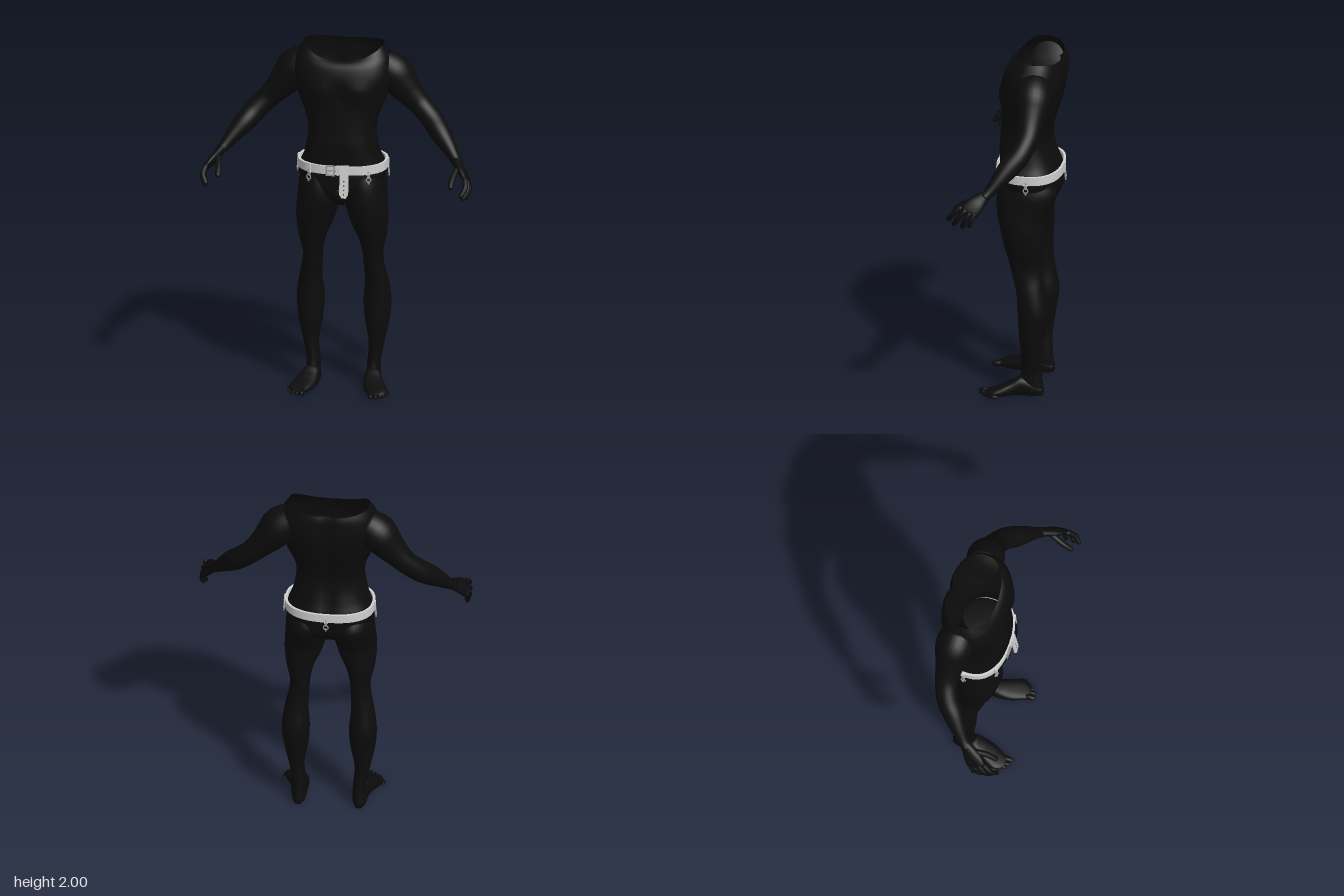
import * as THREE from 'three';
import { toCreasedNormals } from 'three/addons/utils/BufferGeometryUtils.js';

const mat = (name, color, side = THREE.FrontSide) => {
  const m = new THREE.MeshStandardMaterial({ color, side });
  m.name = name;
  return m;
};
const skin = mat('black body', 0x0c0c0c, THREE.DoubleSide);
const leather = mat('pale belt', 0xd0d0d0);
const metal = mat('grey metal', 0x949494);
const dark = mat('dark holes', 0x3a3a3a);

const V = (x, y, z) => new THREE.Vector3(x, y, z);
const spow = (v, e) => Math.sign(v) * Math.abs(v) ** (2 / e);

function mesh(name, geometry, material, parent) {
  const m = new THREE.Mesh(geometry, material);
  m.name = name;
  parent.add(m);
  return m;
}

// Smooth rows of numbers: Catmull-Rom on every column
function refine(keys, n) {
  const out = [];
  for (let i = 0; i < keys.length - 1; i++) {
    const [a, b, c, d] = [-1, 0, 1, 2].map(k => keys[Math.min(keys.length - 1, Math.max(0, i + k))]);
    for (let s = 0; s < n; s++) {
      const t = s / n;
      out.push(b.map((_, k) => b[k] + 0.5 * t * (c[k] - a[k]
        + t * (2 * a[k] - 5 * b[k] + 4 * c[k] - d[k] + t * (3 * (b[k] - c[k]) + d[k] - a[k])))));
    }
  }
  out.push(keys[keys.length - 1]);
  return out;
}

// Skin over a list of closed rings, with optional end caps
function loft(rings, capStart = true, capEnd = true) {
  const n = rings[0].length, pos = [], idx = [];
  rings.forEach(r => r.forEach(p => pos.push(p.x, p.y, p.z)));
  for (let i = 0; i < rings.length - 1; i++) {
    for (let j = 0; j < n; j++) {
      const a = i * n + j, b = i * n + (j + 1) % n;
      idx.push(a, b, a + n, b, b + n, a + n);
    }
  }
  const cap = (i, flip) => {
    const c = rings[i].reduce((s, p) => s.add(p), V(0, 0, 0)).divideScalar(n);
    const k = pos.push(c.x, c.y, c.z) / 3 - 1;
    for (let j = 0; j < n; j++) {
      const a = i * n + j, b = i * n + (j + 1) % n;
      flip ? idx.push(k, b, a) : idx.push(k, a, b);
    }
  };
  if (capStart) cap(0, true);
  if (capEnd) cap(rings.length - 1, false);
  const g = new THREE.BufferGeometry();
  g.setAttribute('position', new THREE.Float32BufferAttribute(pos, 3));
  g.setIndex(idx);
  g.computeVertexNormals();
  return g;
}

const ring = (n, fn) => Array.from({ length: n }, (_, j) => fn(j / n * Math.PI * 2));

// Limb along keys [x, y, z, width radius, thickness radius]
function limb(keys, ref, sides = 20, steps = 4) {
  const rows = refine(keys, steps), at = i => V(...rows[i].slice(0, 3));
  return loft(rows.map((r, i) => {
    const t = at(Math.min(i + 1, rows.length - 1)).sub(at(Math.max(i - 1, 0))).normalize();
    const u = ref.clone().addScaledVector(t, -ref.dot(t)).normalize();
    const v = t.clone().cross(u);
    return ring(sides, a => at(i).addScaledVector(u, r[3] * Math.cos(a))
      .addScaledVector(v, (r[4] ?? r[3]) * Math.sin(a)));
  }));
}

// Torso rows: y, half width, back z, front z, drop of the front edge
function torso() {
  const rows = refine([
    [1.08, 0.03, -0.13, 0.02, 0], [1.12, 0.1, -0.19, 0.07, 0], [1.18, 0.2, -0.235, 0.095, 0],
    [1.25, 0.242, -0.24, 0.1, 0], [1.31, 0.236, -0.24, 0.095, 0], [1.37, 0.212, -0.22, 0.098, 0],
    [1.45, 0.195, -0.198, 0.1, 0], [1.52, 0.19, -0.192, 0.095, 0], [1.6, 0.204, -0.208, 0.09, 0],
    [1.7, 0.245, -0.238, 0.086, 0], [1.78, 0.265, -0.257, 0.09, 0.005], [1.85, 0.275, -0.267, 0.084, 0.015],
    [1.92, 0.265, -0.265, 0.066, 0.03], [1.965, 0.245, -0.26, 0.045, 0.05], [2.0, 0.225, -0.25, 0.025, 0.075]], 4);
  return loft(rows.map(([y, w, z0, z1, drop]) => ring(56, a => {
    const c = Math.cos(a), x = w * spow(Math.sin(a), 2.4);
    let z = (z0 + z1) / 2 + (z1 - z0) / 2 * spow(c, 2.4);
    const mid = Math.exp(-((x / 0.035) ** 2));
    if (c < 0) z += 0.018 * mid;                                   // spine groove
    else z += 0.012 * Math.exp(-(((y - 1.76) / 0.06) ** 2)) * (Math.exp(-(((Math.abs(x) - 0.11) / 0.07) ** 2)) - mid); // chest
    return V(x, y - (c > 0 ? drop : drop * 0.28) * c * c, z);
  })), true, false);
}

// Leg rows: y, inner x, outer x, back z, front z
function leg() {
  const rows = refine([
    [1.27, 0.02, 0.23, -0.21, 0.08], [1.2, 0.012, 0.245, -0.24, 0.096], [1.12, 0.008, 0.25, -0.215, 0.1],
    [1.05, 0.025, 0.256, -0.18, 0.09], [0.97, 0.05, 0.256, -0.174, 0.072], [0.88, 0.09, 0.245, -0.17, 0.05],
    [0.8, 0.11, 0.226, -0.165, 0.025], [0.72, 0.116, 0.228, -0.165, 0.006], [0.62, 0.12, 0.25, -0.175, -0.02],
    [0.5, 0.11, 0.265, -0.195, -0.03], [0.38, 0.118, 0.255, -0.178, -0.035], [0.25, 0.14, 0.228, -0.16, -0.045],
    [0.15, 0.134, 0.208, -0.16, -0.045], [0.09, 0.13, 0.208, -0.165, -0.035], [0.03, 0.13, 0.21, -0.174, -0.02],
    [0.005, 0.135, 0.205, -0.168, -0.03]], 4);
  return loft(rows.map(([y, x0, x1, z0, z1]) => ring(32, a => V(
    (x0 + x1) / 2 + (x1 - x0) / 2 * Math.cos(a), y, (z0 + z1) / 2 + (z1 - z0) / 2 * Math.sin(a)))));
}

// Foot rows: z, inner x, outer x, top y
function foot() {
  const rows = refine([
    [-0.165, 0.145, 0.195, 0.05], [-0.12, 0.13, 0.21, 0.08], [-0.05, 0.126, 0.22, 0.11], [0, 0.126, 0.238, 0.085],
    [0.05, 0.135, 0.262, 0.062], [0.09, 0.15, 0.275, 0.048], [0.125, 0.168, 0.268, 0.036], [0.15, 0.18, 0.245, 0.026]], 4);
  return loft(rows.map(([z, x0, x1, top]) => ring(24, a => V(
    (x0 + x1) / 2 + (x1 - x0) / 2 * spow(Math.cos(a), 2.6), top / 2 + top / 2 * spow(Math.sin(a), 2.6), z))));
}

function side(name, sign) {
  const g = new THREE.Group();
  g.name = name;
  mesh('leg', leg(), skin, g);
  mesh('foot', foot(), skin, g);
  [[0.193, 0.19, 0.017], [0.221, 0.18, 0.013], [0.242, 0.163, 0.012], [0.26, 0.142, 0.011], [0.275, 0.118, 0.011]]
    .forEach(([x, z, r]) => {
      const toe = mesh('toe', new THREE.SphereGeometry(r, 14, 10), skin, g);
      toe.scale.set(1, 1, 2.4);
      toe.position.set(x, r, z - r * 2.4);
    });
  mesh('arm', limb([
    [0.2, 1.88, -0.125, 0.09], [0.27, 1.83, -0.13, 0.106], [0.32, 1.765, -0.13, 0.094], [0.375, 1.7, -0.13, 0.075],
    [0.43, 1.64, -0.125, 0.064], [0.5, 1.57, -0.093, 0.062], [0.55, 1.515, -0.045, 0.059], [0.6, 1.46, 0, 0.046],
    [0.645, 1.405, 0.045, 0.032], [0.672, 1.375, 0.075, 0.028]], V(0, 0, 1), 28), skin, g);
  const ref = V(0, 0.3, 1);
  mesh('palm', limb([
    [0.655, 1.395, 0.055, 0.028, 0.025], [0.68, 1.367, 0.09, 0.04, 0.024], [0.705, 1.34, 0.12, 0.053, 0.024],
    [0.728, 1.31, 0.148, 0.053, 0.018], [0.734, 1.295, 0.156, 0.035, 0.01]], ref), skin, g);
  // Fingers from knuckle to tip, then the thumb
  const digit = (name, a, b, c, r) => mesh(name, limb([
    [...a, r], [...b, r], [...c.map((v, k) => b[k] + 0.75 * (v - b[k])), r * 0.9],
    [...c.map((v, k) => b[k] + 0.94 * (v - b[k])), r * 0.6], [...c, r * 0.1]], ref, 12, 3), skin, g);
  digit('finger', [0.725, 1.335, 0.19], [0.737, 1.295, 0.235], [0.712, 1.245, 0.272], 0.015);
  digit('finger', [0.732, 1.32, 0.165], [0.744, 1.275, 0.205], [0.72, 1.22, 0.24], 0.015);
  digit('finger', [0.735, 1.305, 0.14], [0.746, 1.262, 0.168], [0.726, 1.207, 0.19], 0.015);
  digit('finger', [0.732, 1.3, 0.115], [0.746, 1.262, 0.135], [0.736, 1.22, 0.148], 0.013);
  digit('thumb', [0.675, 1.365, 0.12], [0.658, 1.33, 0.185], [0.652, 1.285, 0.25], 0.017);
  g.scale.x = sign;
  return g;
}

// Belt outline in plan; grow widens it
const BELT_Z = -0.076;
const beltPoint = (a, grow = 0) => V((0.25 + grow) * spow(Math.sin(a), 2.4), 0, BELT_Z + (0.182 + grow) * spow(Math.cos(a), 2.4));

function belt() {
  const g = new THREE.Group();
  g.name = 'belt';
  const flat = grow => ring(112, a => beltPoint(a, grow)).map(p => new THREE.Vector2(p.x, -p.z));
  const shape = new THREE.Shape(flat(0));
  shape.holes.push(new THREE.Path(flat(-0.014)));
  const band = new THREE.ExtrudeGeometry(shape, { depth: 0.049, bevelEnabled: false }).rotateX(-Math.PI / 2);
  mesh('belt band', toCreasedNormals(band, 0.7), leather, g).position.y = 1.285;

  // Hanging clips: front pair, side pair and middle of the back
  [[0.165, 0.075, 0.45], [-0.165, 0.075, -0.45], [0.25, -0.085, Math.PI / 2], [-0.25, -0.085, -Math.PI / 2],
    [0, -0.258, Math.PI]].forEach(([x, z, turn]) => {
    const c = new THREE.Group();
    c.name = 'hanging clip';
    mesh('clip loop', new THREE.BoxGeometry(0.02, 0.056, 0.012), leather, c).position.y = 1.309;
    mesh('clip stud', new THREE.CylinderGeometry(0.005, 0.005, 0.004, 12).rotateX(Math.PI / 2), metal, c).position.set(0, 1.3, 0.007);
    mesh('clip strap', new THREE.BoxGeometry(0.014, 0.022, 0.008), metal, c).position.set(0, 1.276, 0.005);
    mesh('clip ring', new THREE.TorusGeometry(0.013, 0.004, 8, 20), metal, c).position.set(0, 1.257, 0.007);
    mesh('clip hook', new THREE.BoxGeometry(0.01, 0.016, 0.006), metal, c).position.set(0, 1.241, 0.008);
    c.position.set(x, 0, z);
    c.rotation.y = turn;
    g.add(c);
  });

  // Buckle: frame, prong and keeper
  const rect = (w, h) => [[-w, -h], [w, -h], [w, h], [-w, h]].map(p => new THREE.Vector2(...p));
  const frame = new THREE.Shape(rect(0.027, 0.031));
  frame.holes.push(new THREE.Path(rect(0.019, 0.023)));
  mesh('buckle frame', new THREE.ExtrudeGeometry(frame, { depth: 0.008, bevelEnabled: false }), metal, g).position.set(-0.042, 1.31, 0.105);
  mesh('buckle prong', new THREE.BoxGeometry(0.05, 0.006, 0.006), metal, g).position.set(-0.035, 1.31, 0.113);
  mesh('belt keeper', new THREE.BoxGeometry(0.012, 0.058, 0.014), leather, g).position.set(-0.002, 1.31, 0.105);

  // Loose strap end with a pointed tip and punched holes
  const end = new THREE.Group();
  end.name = 'strap end';
  const tip = new THREE.Shape([[-0.025, 0], [-0.025, -0.165], [-0.012, -0.187], [0.012, -0.187], [0.025, -0.165], [0.025, 0]]
    .map(p => new THREE.Vector2(...p)));
  mesh('strap', new THREE.ExtrudeGeometry(tip, { depth: 0.008, bevelEnabled: false }), leather, end);
  for (let i = 0; i < 4; i++) {
    mesh('strap hole', new THREE.CylinderGeometry(0.004, 0.004, 0.002, 10).rotateX(Math.PI / 2), dark, end)
      .position.set(0, -0.09 - i * 0.025, 0.008);
  }
  end.position.set(0.036, 1.343, 0.104);
  end.rotation.x = -0.12;
  g.add(end);
  return g;
}

export function createModel() {
  const model = new THREE.Group();
  model.name = 'mannequin';
  mesh('torso', torso(), skin, model);
  const bulge = mesh('crotch', new THREE.SphereGeometry(0.04, 20, 14), skin, model);
  bulge.scale.set(1, 1.3, 1);
  bulge.position.set(0, 1.165, 0.065);
  model.add(side('left limbs', 1), side('right limbs', -1), belt());
  return model;
}
